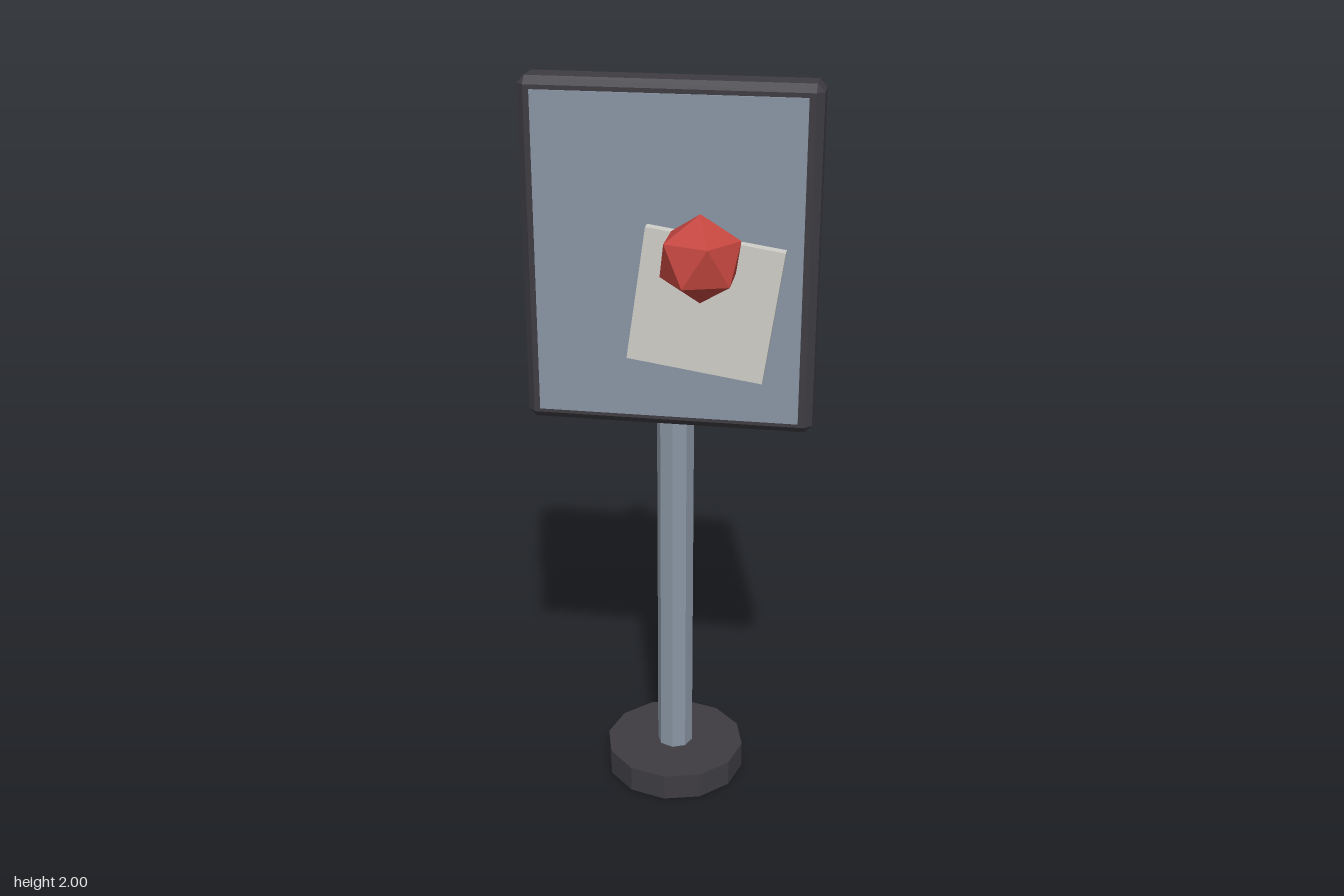
import * as THREE from 'three';
import { ConvexGeometry } from 'three/addons/geometries/ConvexGeometry.js';

const paint = (name, color) => {
  const m = new THREE.MeshStandardMaterial({ color, flatShading: true });
  m.name = name;
  return m;
};

// Box with every edge and corner cut off by c
function chamferBox(w, h, d, c) {
  const points = [];
  for (const x of [-w / 2, w / 2]) for (const y of [-h / 2, h / 2]) for (const z of [-d / 2, d / 2]) {
    const cx = c * Math.sign(x), cy = c * Math.sign(y), cz = c * Math.sign(z);
    points.push(new THREE.Vector3(x, y - cy, z - cz));
    points.push(new THREE.Vector3(x - cx, y, z - cz));
    points.push(new THREE.Vector3(x - cx, y - cy, z));
  }
  return new ConvexGeometry(points);
}

// Icosahedron standing on a corner, an upper corner pointing to +x
function uprightIcosahedron(r) {
  const points = [new THREE.Vector3(0, r, 0), new THREE.Vector3(0, -r, 0)];
  const ring = r * 2 / Math.sqrt(5), height = r / Math.sqrt(5);
  for (let i = 0; i < 10; i++) {
    const a = i * Math.PI / 5;
    points.push(new THREE.Vector3(Math.cos(a) * ring, i % 2 ? -height : height, Math.sin(a) * ring));
  }
  return new ConvexGeometry(points);
}

export function createModel() {
  const model = new THREE.Group();
  model.name = 'signStand';
  const dark = paint('darkFrame', 0x3e3c42);
  const steel = paint('greySteel', 0x8a96a4);
  const paper = paint('paper', 0xcfcec7);
  const red = paint('redPin', 0xc4463f);

  const add = (name, geometry, material, x, y, z) => {
    const mesh = new THREE.Mesh(geometry, material);
    mesh.name = name;
    mesh.position.set(x, y, z);
    model.add(mesh);
    return mesh;
  };

  // Stand
  add('base', new THREE.CylinderGeometry(0.197, 0.197, 0.075, 12), dark, 0, 0.0375, -0.079);
  add('pole', new THREE.CylinderGeometry(0.05, 0.05, 1.91, 8), steel, 0, 1.02, -0.079);

  // Board: frame, panel showing on both faces, raised back plate
  add('frame', chamferBox(0.74, 0.88, 0.11, 0.019), dark, 0, 1.56, -0.005);
  add('panel', new THREE.BoxGeometry(0.67, 0.82, 0.121), steel, 0, 1.56, -0.0055);
  add('backPlate', new THREE.BoxGeometry(0.542, 0.64, 0.03), steel, 0, 1.56, -0.075);

  // Pinned note
  add('note', new THREE.BoxGeometry(0.347, 0.344, 0.033), paper, 0.0975, 1.46, 0.0675).rotation.z = -0.145;
  add('pinShaft', new THREE.CylinderGeometry(0.018, 0.018, 0.1, 8), steel, 0.097, 1.61, 0.1).rotation.x = Math.PI / 2;
  add('pinHead', uprightIcosahedron(0.109), red, 0.1, 1.61, 0.18);

  return model;
}
